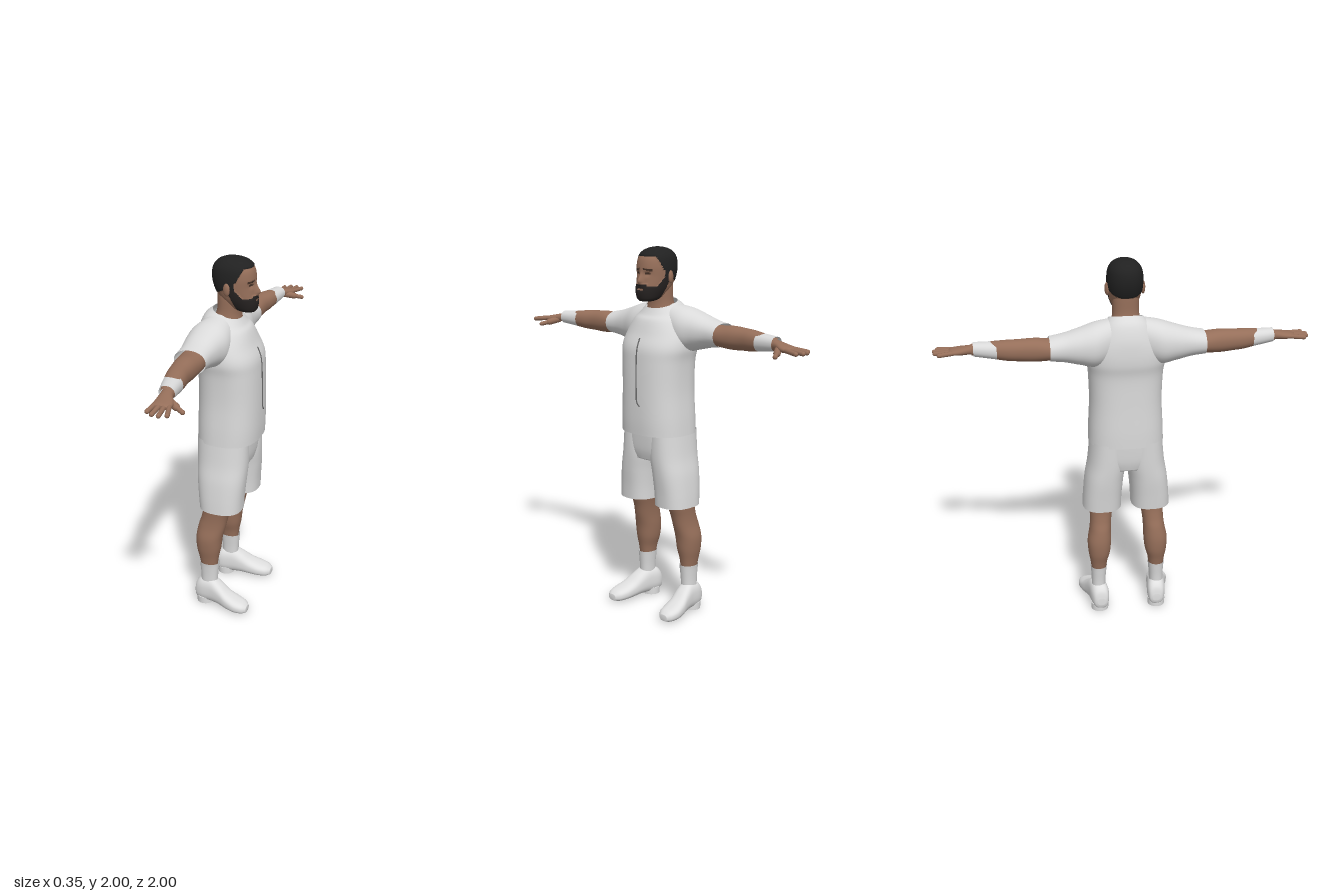
import * as THREE from 'three';

const mat = (name, color, side = THREE.FrontSide) => {
  const m = new THREE.MeshStandardMaterial({ color, side });
  m.name = name;
  return m;
};

export function createModel() {
  const skin = mat('skin', 0x966f5a);
  const hair = mat('hair', 0x212121);
  const beard = mat('beard', 0x262221);
  const feature = mat('eyes and brows', 0x463329);
  const cloth = mat('cloth', 0xdadada, THREE.DoubleSide);
  const shoeWhite = mat('shoe white', 0xe0e0e0);
  const seam = mat('seam', 0x6a6a6a);

  const root = new THREE.Group();
  root.name = 'standingMan';
  const add = (name, geo, material) => {
    const m = new THREE.Mesh(geo, material);
    m.name = name;
    root.add(m);
    return m;
  };

  // Smooth skin over cross-sections [t, cu, cv, ru, rv, tilt, power].
  // axis y: u=x v=z; axis z: u=x v=y; axis x: u=y v=z
  const loft = (axis, secs, { steps = 6, sides = 40, close = false, warp } = {}) => {
    const full = secs.map(s => [...s, ...[0, 0, 0, 0, 0, 0, 2.2].slice(s.length)]);
    const at = i => full[Math.min(Math.max(i, 0), full.length - 1)];
    const rings = [];
    for (let i = 0; i < full.length - 1; i++) {
      for (let k = 0; k < steps + (i === full.length - 2 ? 1 : 0); k++) {
        const f = k / steps;
        rings.push(at(i).map((b, q) => {
          const a = at(i - 1)[q], c = at(i + 1)[q], d = at(i + 2)[q];
          return b + 0.5 * f * (c - a + f * (2 * a - 5 * b + 4 * c - d + f * (3 * (b - c) + d - a)));
        }));
      }
    }
    if (close) {
      const tip = r => r.map((v, q) => (q === 3 || q === 4 ? 0.0001 : v));
      rings.unshift(tip(rings[0]));
      rings.push(tip(rings[rings.length - 1]));
    }
    const pos = [], idx = [], p = new THREE.Vector3();
    for (const [t, cu, cv, ru, rv, tilt, pw] of rings) {
      for (let j = 0; j < sides; j++) {
        const a = (j / sides) * Math.PI * 2, c = Math.cos(a), s = Math.sin(a);
        const du = Math.sign(c) * Math.abs(c) ** (2 / pw) * ru;
        const dv = Math.sign(s) * Math.abs(s) ** (2 / pw) * rv;
        const u = cu + du, v = cv + dv, w = t + tilt * du;
        if (axis === 'y') p.set(u, w, v);
        else if (axis === 'z') p.set(u, v, w);
        else p.set(w, u, v);
        if (warp) warp(p);
        pos.push(p.x, p.y, p.z);
      }
    }
    const flip = (axis === 'y') !== (secs[secs.length - 1][0] < secs[0][0]);
    for (let i = 0; i < rings.length - 1; i++) {
      for (let j = 0; j < sides; j++) {
        const a = i * sides + j, b = i * sides + (j + 1) % sides, c = a + sides, d = b + sides;
        idx.push(...(flip ? [a, c, b, b, c, d] : [a, b, c, b, d, c]));
      }
    }
    const g = new THREE.BufferGeometry();
    g.setAttribute('position', new THREE.Float32BufferAttribute(pos, 3));
    g.setIndex(idx);
    g.computeVertexNormals();
    return g;
  };

  // Sort faces into material groups by a rule on the face centre
  const paint = (g, count, rule) => {
    const p = g.attributes.position, src = g.index.array;
    const lists = Array.from({ length: count }, () => []);
    for (let i = 0; i < src.length; i += 3) {
      const f = [src[i], src[i + 1], src[i + 2]];
      const mid = get => f.reduce((s, v) => s + p[get](v), 0) / 3;
      lists[rule(mid('getX'), mid('getY'), Math.abs(mid('getZ')))].push(...f);
    }
    g.setIndex(lists.flat());
    let start = 0;
    lists.forEach((l, i) => { g.addGroup(start, l.length, i); start += l.length; });
    return g;
  };

  // Rounded finger between two points
  const finger = (name, a, b, r) => {
    const p = new THREE.Vector3(...a), q = new THREE.Vector3(...b), d = q.clone().sub(p);
    const m = add(name, new THREE.CapsuleGeometry(r, d.length(), 5, 12), skin);
    m.position.copy(p).add(q).multiplyScalar(0.5);
    m.quaternion.setFromUnitVectors(new THREE.Vector3(0, 1, 0), d.normalize());
  };

  // Head: nose, eye sockets and hair volume are shaped by rule
  const region = (x, y, z) => {
    const hairline = y > 1.955 ? 1 : y > 1.885 ? 0.05 + (y - 1.885) * 0.5 : 0.042;
    if (x < hairline && y > 1.85 + 0.5 * Math.min(x, 0)) return 1;
    const cheek = x < 0.085 ? 1.86 - 1.1 * (x - 0.03) : z < 0.04 ? 1.811 : 1.8;
    const mouth = x > 0.1 && z < 0.02 && Math.abs(y - 1.784) < 0.005;
    if (y < cheek && x > 0.02 + (1.8 - y) * 0.4 && !mouth) return 2;
    const brow = Math.abs(y - 1.886 + (z - 0.036) * 0.1) < 0.005 && z > 0.014 && z < 0.06;
    const eye = ((z - 0.035) / 0.015) ** 2 + ((y - 1.866) / 0.006) ** 2 < 1;
    return x > 0.07 && (brow || eye) ? 3 : 0;
  };
  const bump = (a, c, w) => Math.exp(-(((a - c) / w) ** 2));
  const head = loft('y', [
    [1.722, 0.085, 0, 0.035, 0.035], [1.735, 0.07, 0, 0.06, 0.055],
    [1.765, 0.05, 0, 0.085, 0.07], [1.80, 0.032, 0, 0.1, 0.081],
    [1.85, 0.018, 0, 0.108, 0.088], [1.90, 0.014, 0, 0.113, 0.09],
    [1.945, 0.012, 0, 0.105, 0.083], [1.975, 0.01, 0, 0.08, 0.062],
    [1.99, 0.01, 0, 0.045, 0.034], [1.995, 0.01, 0, 0.012, 0.01],
  ], {
    steps: 9, sides: 128, close: true,
    warp: p => {
      const z = Math.abs(p.z), part = region(p.x, p.y, z);
      if (p.x > 0.07) {
        const len = p.y > 1.825 ? 0.036 : 0.013;
        p.x += 0.026 * bump(p.z, 0, 0.013) * bump(p.y, 1.825, len);
        p.x -= 0.009 * bump(z, 0.034, 0.016) * bump(p.y, 1.864, 0.013);
      }
      if (part === 1 || part === 2) {
        p.x += (p.x - 0.015) * 0.04;
        p.z *= 1.045;
        p.y += p.y > 1.9 ? (p.y - 1.9) * 0.05 : 0;
      }
    },
  });
  add('head', paint(head, 4, region), [skin, hair, beard, feature]);
  add('neck', loft('y', [
    [1.6, -0.03, 0, 0.09, 0.1], [1.67, -0.024, 0, 0.075, 0.08],
    [1.72, -0.015, 0, 0.062, 0.07], [1.8, -0.01, 0, 0.065, 0.068], [1.85, -0.01, 0, 0.065, 0.06],
  ]), skin);

  // Shirt body with a tilted collar opening
  add('shirtBody', loft('y', [
    [1.015, -0.002, 0, 0.167, 0.203, 0, 2.5], [1.1, 0, 0, 0.169, 0.2, 0, 2.5],
    [1.25, 0.002, 0, 0.167, 0.193, 0, 2.5], [1.4, 0, 0, 0.165, 0.198, 0, 2.5],
    [1.48, -0.01, 0, 0.168, 0.21, 0, 2.4], [1.55, -0.025, 0, 0.154, 0.2, 0, 2.3],
    [1.62, -0.035, 0, 0.135, 0.165], [1.67, -0.033, 0, 0.108, 0.125, -0.2],
    [1.705, -0.022, 0, 0.076, 0.088, -0.3],
  ], { sides: 56 }), cloth);
  add('shirtFrontSeam', new THREE.TubeGeometry(new THREE.CatmullRomCurve3([
    [0.139, 1.53, 0], [0.158, 1.48, 0], [0.166, 1.4, 0], [0.169, 1.25, -0.003],
    [0.169, 1.19, -0.008], [0.168, 1.17, -0.028],
  ].map(v => new THREE.Vector3(...v))), 40, 0.004, 6), seam);
  add('shortsHips', loft('y', [
    [0.87, -0.01, 0, 0.125, 0.17], [0.93, -0.01, 0, 0.138, 0.198, 0, 2.5], [1.04, -0.01, 0, 0.145, 0.195, 0, 2.5],
  ], { close: true }), cloth);

  for (const s of [1, -1]) {
    const side = s > 0 ? 'left' : 'right';
    const along = rows => rows.map(([z, ...r]) => [z * s, ...r]);
    const upright = rows => rows.map(([y, x, z, ...r]) => [y, x, z * s, ...r]);

    // Ear
    const ear = add(side + 'Ear', new THREE.SphereGeometry(1, 16, 12), skin);
    ear.scale.set(0.02, 0.034, 0.011);
    ear.position.set(0.004, 1.847, 0.094 * s);
    ear.rotation.y = -0.3 * s;

    // Arm, sleeve and wristband
    add(side + 'Sleeve', loft('z', along([
      [0.07, -0.05, 1.6, 0.09, 0.105], [0.165, -0.062, 1.575, 0.112, 0.115],
      [0.25, -0.068, 1.57, 0.1, 0.094], [0.33, -0.068, 1.567, 0.087, 0.073], [0.405, -0.068, 1.564, 0.085, 0.061],
    ])), cloth);
    add(side + 'Arm', loft('z', along([
      [0.3, -0.066, 1.562, 0.064, 0.054], [0.4, -0.064, 1.56, 0.068, 0.055], [0.48, -0.06, 1.56, 0.062, 0.06],
      [0.56, -0.055, 1.56, 0.056, 0.056], [0.63, -0.045, 1.56, 0.054, 0.052],
      [0.72, -0.028, 1.562, 0.045, 0.04], [0.8, -0.014, 1.562, 0.033, 0.028],
    ])), skin);
    add(side + 'Wristband', loft('z', along([
      [0.672, -0.037, 1.56, 0.052, 0.046], [0.73, -0.027, 1.562, 0.047, 0.041], [0.79, -0.016, 1.564, 0.041, 0.036],
    ])), cloth);

    // Hand
    add(side + 'Palm', loft('z', along([
      [0.77, -0.016, 1.562, 0.03, 0.026], [0.81, -0.008, 1.56, 0.033, 0.023],
      [0.86, 0.004, 1.553, 0.046, 0.02], [0.9, 0.008, 1.55, 0.047, 0.015], [0.915, 0.008, 1.549, 0.036, 0.009],
    ]), { close: true, sides: 28 }), skin);
    [[-0.029, -0.034, 0.963], [-0.003, -0.002, 0.984], [0.021, 0.033, 0.988], [0.044, 0.068, 0.972]]
      .forEach(([x0, x1, z], i) =>
        finger(side + 'Finger' + (i + 1), [x0, 1.55, 0.895 * s], [x1, 1.544, z * s], 0.0115));
    finger(side + 'ThumbBase', [0.012, 1.548, 0.825 * s], [0.06, 1.534, 0.855 * s], 0.018);
    finger(side + 'Thumb', [0.06, 1.534, 0.855 * s], [0.1, 1.524, 0.877 * s], 0.012);

    // Leg, shorts and sock
    add(side + 'ShortsLeg', loft('y', upright([
      [0.622, -0.008, 0.135, 0.118, 0.106, 0, 2.5], [0.7, -0.01, 0.131, 0.124, 0.105, 0, 2.5],
      [0.8, -0.011, 0.121, 0.134, 0.105, 0, 2.4], [0.9, -0.011, 0.105, 0.14, 0.104, 0, 2.3], [1.03, -0.012, 0.1, 0.142, 0.097],
    ])), cloth);
    add(side + 'Leg', loft('y', upright([
      [0.24, -0.074, 0.163, 0.045, 0.039], [0.3, -0.076, 0.163, 0.055, 0.047],
      [0.36, -0.077, 0.16, 0.068, 0.06], [0.43, -0.074, 0.158, 0.074, 0.065],
      [0.5, -0.06, 0.151, 0.077, 0.059], [0.56, -0.044, 0.146, 0.075, 0.059],
      [0.64, -0.026, 0.14, 0.082, 0.067], [0.8, -0.012, 0.125, 0.1, 0.085],
    ])), skin);
    add(side + 'Sock', loft('y', upright([
      [0.1, -0.074, 0.166, 0.046, 0.038], [0.18, -0.073, 0.165, 0.048, 0.039],
      [0.24, -0.073, 0.164, 0.053, 0.043], [0.268, -0.073, 0.164, 0.056, 0.046],
    ])), cloth);

    // Shoe: upper from heel to toe, with a separate heel block
    const shoe = [
      [-0.156, 0.065, 0.158, 0.02, 0.022], [-0.145, 0.075, 0.159, 0.055, 0.04],
      [-0.11, 0.086, 0.162, 0.074, 0.051], [-0.05, 0.089, 0.17, 0.076, 0.052],
      [0, 0.074, 0.18, 0.062, 0.054], [0.05, 0.053, 0.192, 0.047, 0.058],
      [0.1, 0.041, 0.2, 0.038, 0.06], [0.145, 0.034, 0.204, 0.03, 0.049], [0.17, 0.029, 0.206, 0.017, 0.026],
    ].map(([x, y, z, ...r]) => [x, y, z * s, ...r, 0, 2.5]);
    add(side + 'Shoe', loft('x', shoe, { close: true }), shoeWhite);
    const heel = add(side + 'Heel', new THREE.CylinderGeometry(0.05, 0.048, 0.04, 24), shoeWhite);
    heel.position.set(-0.1, 0.02, 0.163 * s);
  }
  return root;
}
